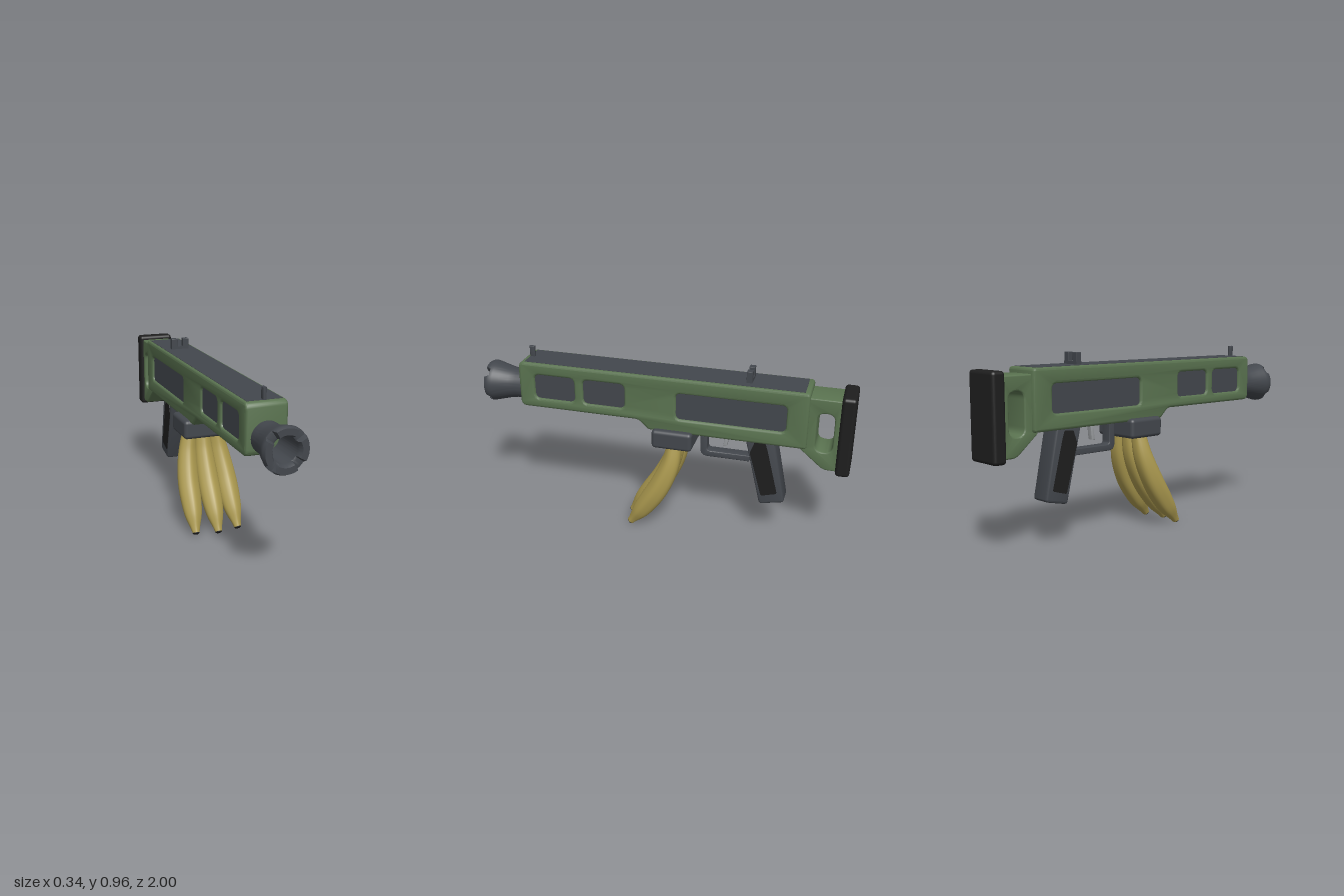
import * as THREE from 'three';
import { toCreasedNormals } from 'three/addons/utils/BufferGeometryUtils.js';
import { RoundedBoxGeometry } from 'three/addons/geometries/RoundedBoxGeometry.js';

const mat = (name, color) => {
  const m = new THREE.MeshStandardMaterial({ color });
  m.name = name;
  return m;
};

// Traces a polygon of [z, y, cornerRadius] with rounded corners
function trace(path, pts) {
  const n = pts.length;
  pts.forEach(([x, y, r = 0], i) => {
    const c = new THREE.Vector2(x, y);
    const toward = ([px, py]) => new THREE.Vector2(px, py).sub(c).setLength(r).add(c);
    const a = toward(pts[(i + n - 1) % n]), b = toward(pts[(i + 1) % n]);
    if (i === 0) path.moveTo(a.x, a.y); else path.lineTo(a.x, a.y);
    if (r) path.quadraticCurveTo(x, y, b.x, b.y);
  });
  path.closePath();
  return path;
}

const rect = (z0, z1, y0, y1, r) => [[z0, y0, r], [z1, y0, r], [z1, y1, r], [z0, y1, r]];

// Extrudes a side profile across x, centred, with bevelled edges
function slab(pts, width, bevel, holes = []) {
  const shape = trace(new THREE.Shape(), pts);
  holes.forEach((h) => shape.holes.push(trace(new THREE.Path(), h)));
  const geo = new THREE.ExtrudeGeometry(shape, {
    depth: width - 2 * bevel, bevelEnabled: bevel > 0, bevelThickness: bevel,
    bevelSize: bevel, bevelOffset: -bevel, bevelSegments: 3, curveSegments: 8,
  });
  geo.translate(0, 0, bevel - width / 2).rotateY(-Math.PI / 2);
  return toCreasedNormals(geo, 0.6);
}

// Flared muzzle with four diagonal grooves across its rim
function muzzleGeometry() {
  const profile = [[0.08, 0.77], [0.08, 0.83], [0.086, 0.87], [0.099, 0.92], [0.108, 0.955], [0.112, 0.97],
    [0.112, 0.985], [0.105, 1], [0.074, 1], [0.066, 0.985], [0.063, 0.97], [0.061, 0.785]];
  const geo = new THREE.LatheGeometry(profile.map(([r, z]) => new THREE.Vector2(r, z)), 72).rotateX(Math.PI / 2);
  const p = geo.attributes.position, quarter = Math.PI / 2;
  for (let i = 0; i < p.count; i++) {
    const angle = Math.atan2(p.getY(i), p.getX(i)) + 2 * Math.PI;
    const off = Math.abs((angle % quarter) - quarter / 2);
    if (off < 0.19 && p.getZ(i) > 0.971) p.setZ(i, 0.97 + (p.getZ(i) - 0.97) * 0.1);
  }
  return toCreasedNormals(geo.translate(0, 0.737, 0), 0.6);
}

// Ridged fruit swept along a curve
function fruitGeometry(curve) {
  const radii = new THREE.SplineCurve([0.038, 0.046, 0.054, 0.058, 0.057, 0.046, 0.019]
    .map((r, i) => new THREE.Vector2(i, r)));
  const rings = 30, sides = 30, pos = [], index = [];
  const X = new THREE.Vector3(1, 0, 0);
  for (let i = 0; i <= rings; i++) {
    const t = i / rings, c = curve.getPoint(t), T = curve.getTangent(t);
    const side = X.clone().addScaledVector(T, -T.x).normalize();
    const N = new THREE.Vector3().crossVectors(T, side);
    for (let j = 0; j < sides; j++) {
      const a = (j / sides) * Math.PI * 2;
      const r = radii.getPoint(t).y * (1 + 0.035 * Math.cos(5 * (a - Math.PI / 2)));
      const v = c.clone().addScaledVector(side, r * Math.cos(a)).addScaledVector(N, r * Math.sin(a));
      pos.push(v.x, v.y, v.z);
      if (i < rings) {
        const k = (j + 1) % sides, q = i * sides;
        index.push(q + j, q + k, q + sides + j, q + k, q + sides + k, q + sides + j);
      }
    }
  }
  const geo = new THREE.BufferGeometry();
  geo.setAttribute('position', new THREE.Float32BufferAttribute(pos, 3));
  geo.setIndex(index);
  geo.computeVertexNormals();
  return geo;
}

export function createModel() {
  const model = new THREE.Group();
  model.name = 'fruitLauncher';
  const green = mat('olive green', 0x5a7350);
  const grey = mat('gunmetal', 0x43474d);
  const black = mat('rubber black', 0x1e1e1e);
  const yellow = mat('fruit yellow', 0xab994f);
  const silver = mat('trigger silver', 0x9a9da0);

  const add = (name, geo, material, parent = model) => {
    const m = new THREE.Mesh(geo, material);
    m.name = name;
    parent.add(m);
    return m;
  };
  const box = (name, w, h, d, x, y, z, material, r = 0) => {
    const geo = r ? new RoundedBoxGeometry(w, h, d, 4, r) : new THREE.BoxGeometry(w, h, d);
    add(name, geo.translate(x, y, z), material);
  };

  // Main housing with recessed side windows
  const windows = [[0.47, 0.695, 0.705, 0.84], [0.19, 0.42, 0.705, 0.84], [-0.665, -0.09, 0.68, 0.825]];
  add('housing', slab([
    [0.785, 0.65, 0.035], [0.785, 0.905, 0.035], [-0.775, 0.905, 0.02], [-0.775, 0.598, 0.015],
    [0.06, 0.598, 0.015], [0.115, 0.65, 0.02],
  ], 0.21, 0.014, windows.map(([a, b, c, d]) => rect(a, b, c, d, 0.03))), green);
  windows.forEach(([a, b, c, d]) =>
    box('sidePanel', 0.186, d - c + 0.03, b - a + 0.03, 0, (c + d) / 2, (a + b) / 2, grey));
  box('topRail', 0.178, 0.008, 1.5, 0, 0.9025, 0.002, grey);

  add('muzzle', muzzleGeometry(), grey);

  // Shoulder stock with a slotted opening and rubber pad
  add('stock', slab([
    [-0.74, 0.876], [-0.94, 0.876], [-0.94, 0.485], [-0.865, 0.485, 0.025], [-0.74, 0.59],
  ], 0.168, 0.008, [rect(-0.903, -0.815, 0.585, 0.8, 0.042)]), green);
  box('buttPad', 0.204, 0.434, 0.072, 0, 0.682, -0.964, black, 0.018);

  // Sights
  add('frontSight', slab([[0.755, 0.9], [0.755, 0.965], [0.725, 0.965], [0.725, 0.9]], 0.018, 0.006), grey);
  box('rearSightBase', 0.1, 0.02, 0.03, 0, 0.912, -0.46, grey);
  for (const s of [-1, 1]) box('rearSightPost', 0.033, 0.062, 0.03, s * 0.0335, 0.936, -0.46, grey, 0.003);

  // Pistol grip with inlaid side plates
  add('grip', slab([
    [-0.45, 0.61], [-0.605, 0.61], [-0.68, 0.24, 0.02], [-0.545, 0.21, 0.02],
  ], 0.11, 0.012), grey);
  add('gripPlates', slab([
    [-0.482, 0.515, 0.01], [-0.505, 0.58, 0.005], [-0.56, 0.585, 0.005], [-0.575, 0.54, 0.005],
    [-0.638, 0.29, 0.01], [-0.553, 0.265, 0.01],
  ], 0.114, 0), black);

  // Trigger and guard
  add('triggerGuard', slab([
    [-0.21, 0.61], [-0.21, 0.447, 0.04], [-0.475, 0.447], [-0.49, 0.48],
    [-0.245, 0.48, 0.02], [-0.245, 0.61],
  ], 0.06, 0.004), grey);
  add('trigger', slab([
    [-0.335, 0.605], [-0.36, 0.605], [-0.355, 0.54], [-0.35, 0.513], [-0.33, 0.513], [-0.338, 0.55],
  ], 0.032, 0.004), silver);

  // Fruit magazine: holder block and three hanging fruits
  box('magazineHolder', 0.276, 0.104, 0.218, 0, 0.562, -0.075, grey, 0.02);
  for (const s of [-1, 0, 1]) {
    const fruit = new THREE.Group();
    fruit.name = 'magazineFruit';
    model.add(fruit);
    const dz = s ? -0.012 : 0.012;
    const curve = new THREE.CatmullRomCurve3([
      [0.072, 0.54, -0.083], [0.092, 0.41, -0.06], [0.108, 0.27, 0.0], [0.114, 0.14, 0.085], [0.121, 0.022, 0.172],
    ].map(([x, y, z], i) => new THREE.Vector3(s * x, y, z + dz * Math.min(1, i / 3))));
    add('fruitBody', fruitGeometry(curve), yellow, fruit);
    const tip = add('fruitTip', new THREE.SphereGeometry(0.0185, 16, 10).scale(1, 0.5, 1), black, fruit);
    tip.position.copy(curve.getPoint(1));
    tip.quaternion.setFromUnitVectors(new THREE.Vector3(0, 1, 0), curve.getTangent(1));
  }
  return model;
}
